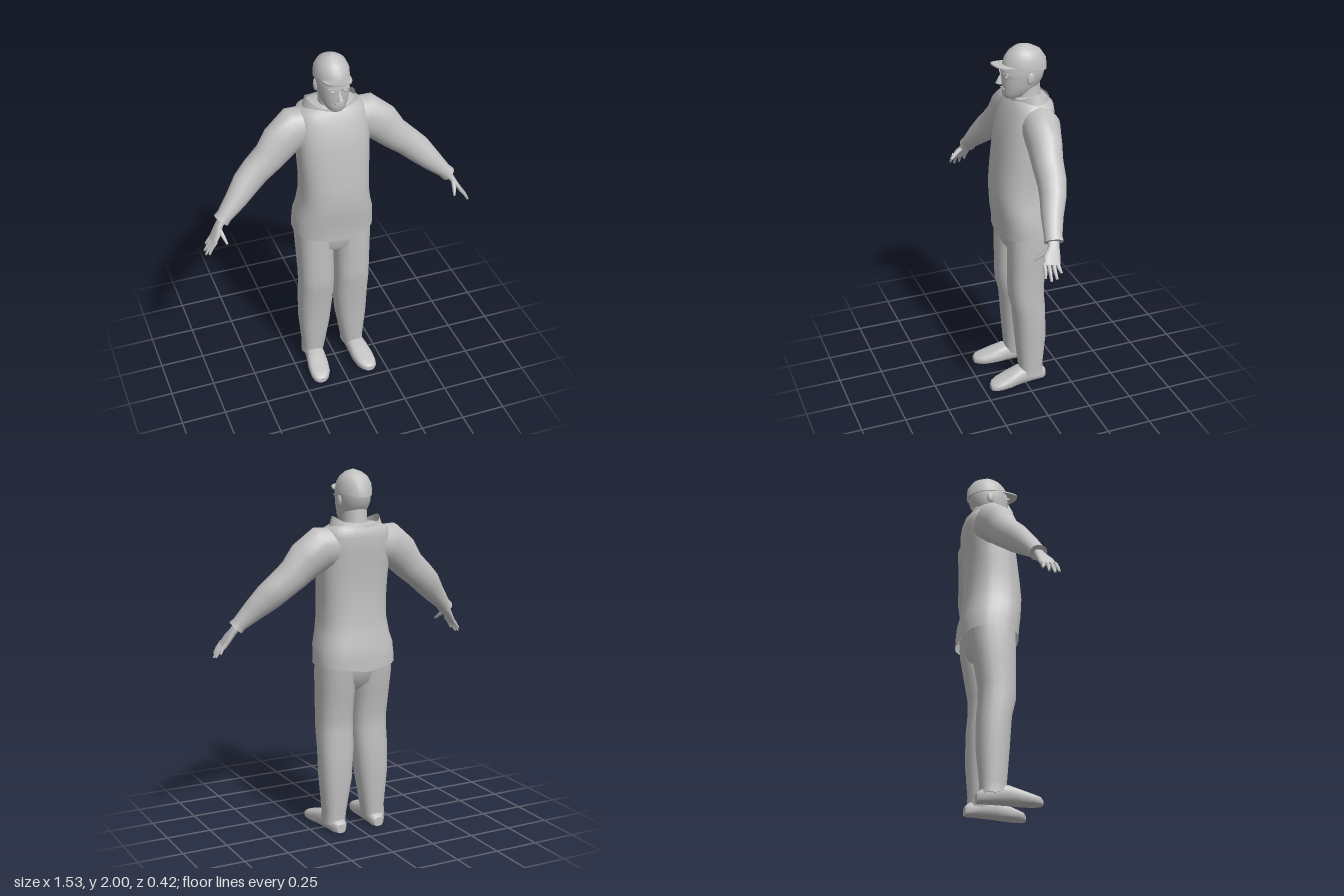
import * as THREE from 'three';

const grey = new THREE.MeshStandardMaterial({ color: 0xc0c0c0, side: THREE.DoubleSide });
grey.name = 'plain grey';
const V = (x, y, z) => new THREE.Vector3(x, y, z);

// Superellipse ring of n points around centre c, with half-axes along u and v
function ring(c, u, v, a, b, e = 2, n = 20) {
  const pow = t => Math.sign(t) * Math.abs(t) ** (2 / e);
  return Array.from({ length: n }, (_, i) => {
    const t = (i / n) * Math.PI * 2;
    return c.clone().addScaledVector(u, a * pow(Math.cos(t))).addScaledVector(v, b * pow(Math.sin(t)));
  });
}

// Skin a list of rings; side -1 mirrors the part across x
function loft(name, rings, { side = 1, start = true, end = true } = {}) {
  const n = rings[0].length, pos = [], idx = [];
  const tri = (a, b, c) => (side > 0 ? idx.push(a, b, c) : idx.push(a, c, b));
  const add = p => pos.push(p.x * side, p.y, p.z);
  rings.forEach(r => r.forEach(add));
  for (let k = 0; k < rings.length - 1; k++) {
    for (let i = 0; i < n; i++) {
      const a = k * n + i, b = k * n + (i + 1) % n;
      tri(a, b, a + n);
      tri(b, b + n, a + n);
    }
  }
  const cap = (r, flip) => {
    const base = pos.length / 3;
    r.forEach(add);
    add(r.reduce((s, p) => s.add(p), V(0, 0, 0)).divideScalar(n));
    for (let i = 0; i < n; i++) {
      const j = (i + 1) % n;
      flip ? tri(base + j, base + i, base + n) : tri(base + i, base + j, base + n);
    }
  };
  if (start) cap(rings[0], true);
  if (end) cap(rings[rings.length - 1], false);
  const g = new THREE.BufferGeometry();
  g.setAttribute('position', new THREE.Float32BufferAttribute(pos, 3));
  g.setIndex(idx);
  g.computeVertexNormals();
  return mesh(name, g);
}

function mesh(name, geometry) {
  const m = new THREE.Mesh(geometry, grey);
  m.name = name;
  return m;
}

// Upright rings from rows of [y, half width, front z, back z, centre x]
const upright = (rows, e, n) => rows.map(([y, hw, zf, zb, cx = 0]) =>
  ring(V(cx, y, (zf + zb) / 2), V(0, 0, 1), V(1, 0, 0), (zf - zb) / 2, hw, e, n));

// Rings square to a path, from rows of [x, y, z, thickness, breadth]
function along(rows, e, n) {
  const p = rows.map(r => V(r[0], r[1], r[2]));
  return rows.map((r, i) => {
    const t = p[Math.min(i + 1, p.length - 1)].clone().sub(p[Math.max(i - 1, 0)]).normalize();
    const w = V(0, 0, 1).addScaledVector(t, -t.z).normalize();
    return ring(p[i], w.clone().cross(t), w, r[3], r[4], e, n);
  });
}

function makeJacket() {
  const g = new THREE.Group();
  g.name = 'jacket';
  const body = upright([
    [0.945, 0.226, 0.115, -0.207], [1.0, 0.224, 0.117, -0.205], [1.06, 0.22, 0.126, -0.2],
    [1.12, 0.204, 0.132, -0.185], [1.2, 0.191, 0.138, -0.176], [1.3, 0.19, 0.13, -0.168],
    [1.4, 0.195, 0.117, -0.168], [1.5, 0.2, 0.103, -0.175], [1.58, 0.2, 0.085, -0.184],
    [1.65, 0.195, 0.06, -0.186], [1.695, 0.178, 0.038, -0.18], [1.718, 0.13, 0.02, -0.16],
    [1.725, 0.06, 0, -0.12]], 2.6, 32);
  // Hem dips at front and back
  body[0].forEach(p => { p.y += 0.012 - 0.03 * (1 - Math.abs(p.x) / 0.226); });
  g.add(loft('jacketBody', body, { start: false }));

  // Stand-up collar, highest at the sides
  const collar = upright([[1.68, 0.16, 0.035, -0.182], [1.72, 0.135, 0.03, -0.172]], 2, 28);
  collar[1].forEach(p => { p.y += 0.04 * Math.abs(p.x / 0.135) ** 4; });
  g.add(loft('collar', collar, { start: false, end: false }));
  return g;
}

function makeArm(side) {
  const g = new THREE.Group();
  g.name = side > 0 ? 'leftArm' : 'rightArm';
  g.add(loft('sleeve', along([
    [0.1, 1.6, -0.075, 0.1, 0.09], [0.2, 1.595, -0.065, 0.116, 0.1], [0.285, 1.535, -0.05, 0.106, 0.088],
    [0.35, 1.463, -0.04, 0.088, 0.08], [0.43, 1.398, -0.03, 0.08, 0.075], [0.487, 1.348, -0.012, 0.077, 0.068],
    [0.56, 1.275, 0.022, 0.059, 0.057], [0.63, 1.207, 0.045, 0.04, 0.047], [0.652, 1.184, 0.05, 0.042, 0.05]],
    2.1, 18), { side }));
  g.add(loft('palm', along([
    [0.635, 1.205, 0.046, 0.02, 0.027], [0.665, 1.165, 0.056, 0.018, 0.03],
    [0.69, 1.125, 0.075, 0.015, 0.045], [0.713, 1.09, 0.085, 0.012, 0.046]], 2.6, 12), { side }));
  // Four fingers
  [[0.05, 0.742, 1.052], [0.074, 0.757, 1.03], [0.099, 0.758, 1.024], [0.122, 0.745, 1.04]].forEach(([z, x, y], i) =>
    g.add(loft('finger' + (i + 1), along([
      [0.703, 1.105, z, 0.011, 0.011], [(0.703 + x) / 2 + 0.004, (1.105 + y) / 2, z + 0.003, 0.01, 0.0105],
      [x, y, z + (z - 0.08) * 0.22, 0.006, 0.007]], 2, 7), { side })));
  g.add(loft('thumb', along([
    [0.672, 1.155, 0.08, 0.013, 0.014], [0.662, 1.13, 0.118, 0.011, 0.012],
    [0.65, 1.1, 0.155, 0.006, 0.007]], 2, 7), { side }));
  return g;
}

function makeLeg(side) {
  const g = new THREE.Group();
  g.name = side > 0 ? 'leftLeg' : 'rightLeg';
  const rows = upright([
    [0.045, 0.062, 0.025, -0.112, 0.126], [0.11, 0.065, 0.028, -0.112, 0.12], [0.3, 0.09, 0.044, -0.128, 0.112],
    [0.48, 0.1, 0.058, -0.125, 0.106], [0.57, 0.1, 0.08, -0.117, 0.105], [0.65, 0.1, 0.082, -0.117, 0.106],
    [0.78, 0.102, 0.082, -0.14, 0.108], [0.9, 0.107, 0.082, -0.162, 0.107], [1.0, 0.105, 0.08, -0.17, 0.105]], 2.5, 20);
  // Trouser cuff rises over the instep
  rows[0].forEach(p => { p.y += 0.025 * Math.max(0, (p.z + 0.04) / 0.065); });
  g.add(loft('trouserLeg', rows, { side }));

  // Shoe rings run heel to toe: [z, centre x, half width, top y]
  const shoe = [[-0.132, 0.118, 0.025, 0.05], [-0.11, 0.12, 0.045, 0.07], [-0.04, 0.125, 0.05, 0.1],
    [0.03, 0.13, 0.056, 0.1], [0.1, 0.137, 0.061, 0.075], [0.16, 0.143, 0.057, 0.055],
    [0.195, 0.148, 0.043, 0.045], [0.21, 0.15, 0.022, 0.03]].map(([z, x, hw, top]) => {
    const r = ring(V(x, top / 2, z), V(1, 0, 0), V(0, 1, 0), hw, top / 2, 2.6, 16);
    r.forEach(p => { if (p.y < 0.02) p.y = Math.max(0, p.y * 0.6); });
    return r;
  });
  g.add(loft('shoe', shoe, { side }));
  return g;
}

function makeHead() {
  const g = new THREE.Group();
  g.name = 'head';
  g.add(loft('neck', upright([
    [1.66, 0.085, 0.015, -0.15], [1.73, 0.066, 0.015, -0.135], [1.82, 0.066, 0.02, -0.13]], 2, 18)));
  g.add(loft('face', upright([
    [1.718, 0.034, 0.06, -0.01], [1.73, 0.05, 0.071, -0.05], [1.755, 0.065, 0.074, -0.09],
    [1.785, 0.075, 0.075, -0.125], [1.82, 0.083, 0.078, -0.145], [1.845, 0.086, 0.076, -0.152],
    [1.862, 0.088, 0.082, -0.156], [1.905, 0.088, 0.068, -0.158]], 2.2, 24)));

  // Nose, mouth, brows, eyes and ears
  const nose = new THREE.ConeGeometry(0.021, 0.06, 4);
  nose.rotateX(-0.2).translate(0, 1.829, 0.089);
  g.add(mesh('nose', nose));
  g.add(mesh('mouth', new THREE.BoxGeometry(0.042, 0.007, 0.012).translate(0, 1.772, 0.073)));
  for (const s of [1, -1]) {
    const name = s > 0 ? 'left' : 'right';
    const brow = mesh(name + 'Brow', new THREE.BoxGeometry(0.042, 0.009, 0.014));
    brow.position.set(s * 0.036, 1.857, 0.072);
    brow.rotation.set(0, s * 0.3, s * 0.12);
    const eye = mesh(name + 'Eye', new THREE.SphereGeometry(0.011, 10, 8));
    eye.scale.set(1.2, 0.7, 0.6);
    eye.position.set(s * 0.035, 1.84, 0.068);
    const ear = mesh(name + 'Ear', new THREE.SphereGeometry(0.03, 10, 8));
    ear.scale.set(0.35, 1.1, 0.7);
    ear.position.set(s * 0.087, 1.835, -0.05);
    ear.rotation.x = -0.15;
    g.add(brow, eye, ear);
  }
  return g;
}

function makeCap() {
  const g = new THREE.Group();
  g.name = 'cap';
  const crown = upright([
    [1.89, 0.093, 0.07, -0.167], [1.93, 0.09, 0.062, -0.163], [1.965, 0.071, 0.037, -0.133],
    [1.988, 0.042, 0.003, -0.09], [2.0, 0.008, -0.034, -0.05]], 2, 22);
  // Lower edge slopes down to the back
  crown[0].forEach(p => { p.y += 0.18 * p.z; });
  crown[1].forEach(p => { p.y += 0.05 * p.z; });
  g.add(loft('capCrown', crown));

  // Arched brim
  const shape = new THREE.Shape();
  shape.absellipse(0, 0, 0.076, 0.105, 0, Math.PI);
  const brim = new THREE.ExtrudeGeometry(shape, { depth: 0.008, bevelEnabled: false, curveSegments: 20 });
  brim.rotateX(Math.PI / 2).translate(0, 1.917, 0.03);
  const p = brim.attributes.position;
  for (let i = 0; i < p.count; i++) p.setY(i, p.getY(i) - 3.5 * p.getX(i) ** 2 - 0.04 * (p.getZ(i) - 0.03));
  brim.computeVertexNormals();
  g.add(mesh('capBrim', brim));
  return g;
}

export function createModel() {
  const model = new THREE.Group();
  model.name = 'standingMan';
  model.add(makeJacket(), makeHead(), makeCap());
  // Trouser seat joins the legs under the jacket
  model.add(loft('trouserSeat', upright([
    [0.8, 0.06, 0.03, -0.08], [0.85, 0.15, 0.074, -0.14], [0.93, 0.205, 0.082, -0.165],
    [1.02, 0.2, 0.08, -0.17]], 2.6, 24)));
  for (const side of [1, -1]) model.add(makeArm(side), makeLeg(side));
  return model;
}
